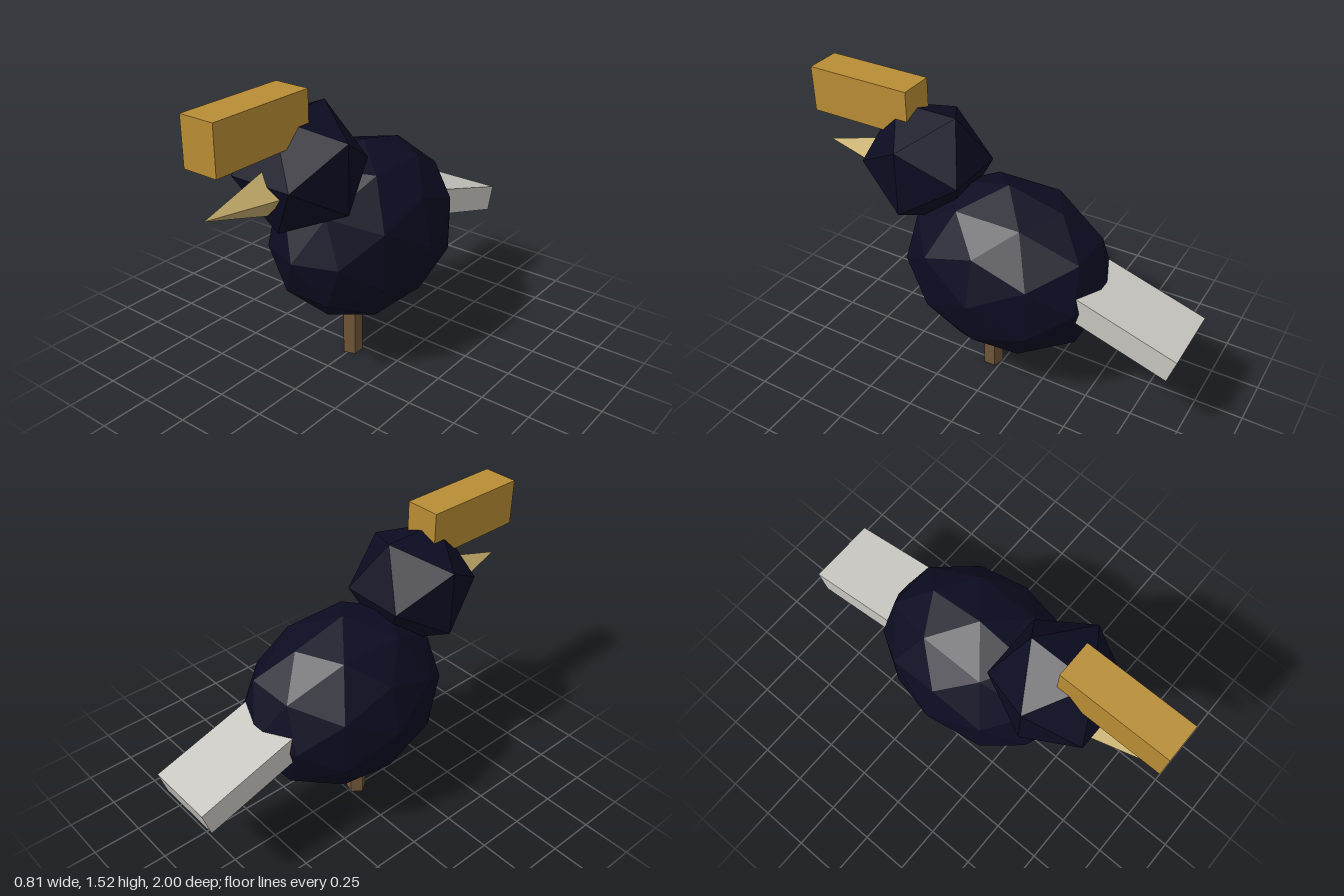
import * as THREE from 'three';

const mat = (name, color) => {
  const m = new THREE.MeshStandardMaterial({ color, flatShading: true });
  m.name = name;
  return m;
};

export function createModel() {
  const bird = new THREE.Group();
  bird.name = 'bird';

  const plumage = mat('midnight plumage', 0x0c0c22);
  const amber = mat('amber casque', 0xb88c34);
  const horn = mat('pale horn beak', 0xc4ac6a);
  const ash = mat('light grey tail', 0xc8c6c0);
  const bark = mat('brown leg', 0x705538);

  const add = (name, geometry, material, x, y, z) => {
    const mesh = new THREE.Mesh(geometry, material);
    mesh.name = name;
    mesh.position.set(x, y, z);
    bird.add(mesh);
    return mesh;
  };

  // Faceted body and head, turned so an edge runs along the top
  const ball = (detail) => new THREE.IcosahedronGeometry(1, detail).rotateY(Math.PI / 2);
  add('body', ball(1).scale(0.405, 0.4525, 0.54), plumage, 0, 0.683, -0.04);
  add('head', ball(0).scale(0.315, 0.315, 0.315), plumage, 0, 1.137, 0.41);

  // Block casque above a four-sided beak
  add('casque', new THREE.BoxGeometry(0.18, 0.23, 0.545), amber, 0, 1.407, 0.7275);
  const beak = new THREE.ConeGeometry(0.11, 0.365, 4).rotateX(Math.PI / 2).scale(0.95, 1, 1);
  add('beak', beak, horn, 0, 1.087, 0.8175);

  // Tail slab, pivoted at its upper rear edge and sloping down to the back
  const tailGeometry = new THREE.BoxGeometry(0.356, 0.133, 0.6).translate(0, -0.0665, 0.3);
  const tail = add('tail', tailGeometry, ash, 0, 0.605, -1);
  tail.rotation.x = -0.3;

  // Single five-sided leg
  const leg = new THREE.CylinderGeometry(0.053, 0.053, 0.36, 5, 1, false, -Math.PI / 2);
  add('leg', leg, bark, -0.001, 0.18, 0.05);

  return bird;
}
